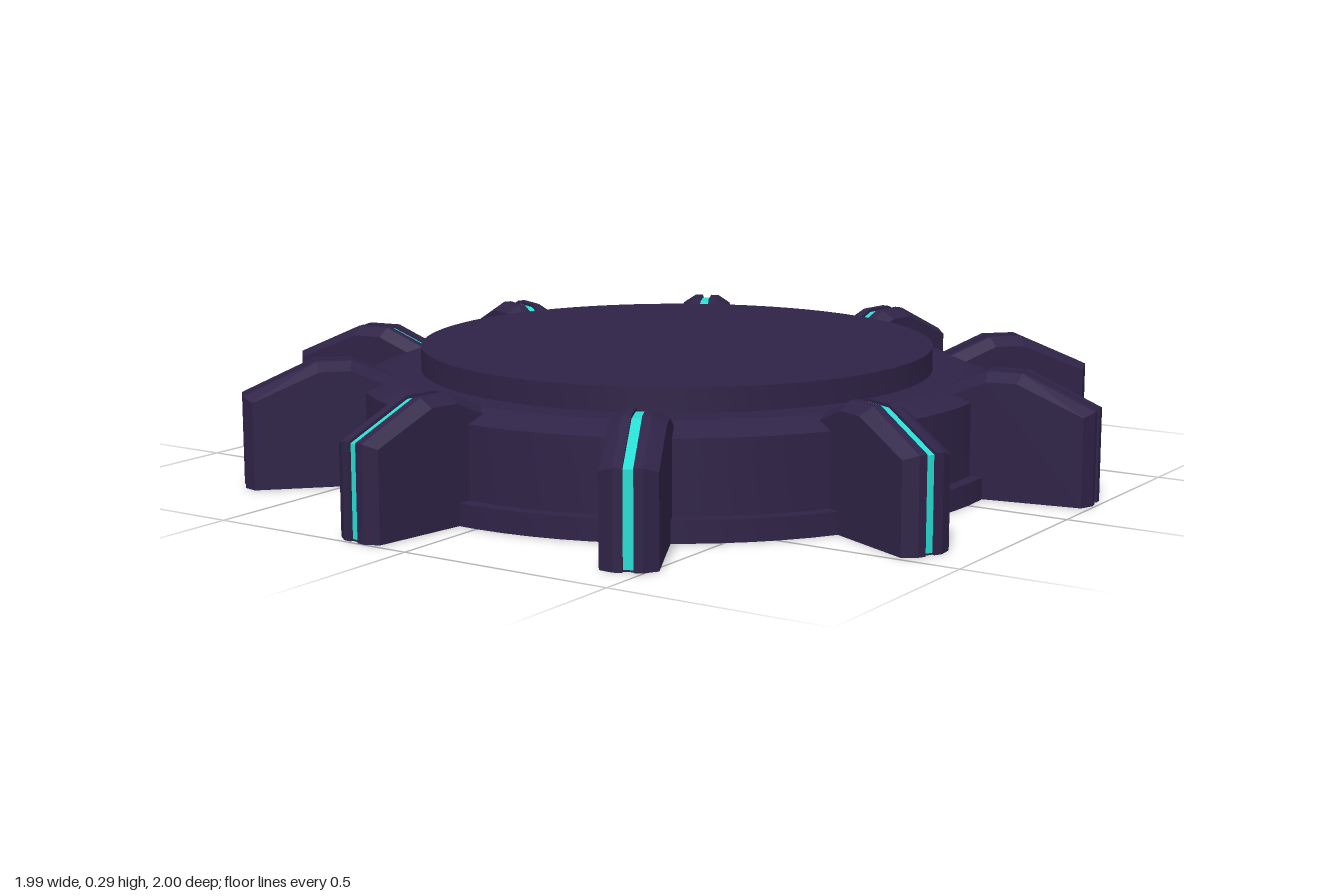
import * as THREE from 'three';
import { toCreasedNormals } from 'three/addons/utils/BufferGeometryUtils.js';
import { ConvexGeometry } from 'three/addons/geometries/ConvexGeometry.js';

const FINS = 10;
const HALF_WIDTH = 0.06;   // fin half thickness
const CHAMFER = 0.03;      // half thickness where the edge chamfer starts
const GROOVE = 0.011;      // half width of the glowing groove

export function createModel() {
  const hull = new THREE.MeshStandardMaterial({ color: 0x2f2347 });
  hull.name = 'dark violet';
  const glow = new THREE.MeshStandardMaterial({ color: 0x27dcd2 });
  glow.name = 'teal glow';

  const model = new THREE.Group();
  model.name = 'finnedPlatform';

  const add = (parent, name, geometry, material) => {
    const mesh = new THREE.Mesh(geometry, material);
    mesh.name = name;
    parent.add(mesh);
    return mesh;
  };

  // Round body: shallow hollow underneath, base lip, wall, chamfer, raised disc
  const profile = [
    [0, 0.04], [0.735, 0.04], [0.738, 0], [0.765, 0], [0.765, 0.05], [0.735, 0.05],
    [0.735, 0.215], [0.67, 0.24], [0.595, 0.24], [0.595, 0.295], [0, 0.295],
  ].map(([r, y]) => new THREE.Vector2(r, y));
  add(model, 'body', toCreasedNormals(new THREE.LatheGeometry(profile, 72), 0.25), hull);

  // Fin side outlines as [radius, height]; the inset one bounds the outer cheek
  const full = [[0.72, 0], [1.004, 0], [1.004, 0.21], [0.84, 0.283], [0.76, 0.283], [0.655, 0.238]];
  const inset = [[0.72, 0], [0.986, 0], [0.986, 0.2], [0.835, 0.264], [0.765, 0.264], [0.675, 0.225]];
  const core = [[0.72, 0.004], [0.997, 0.004], [0.997, 0.206], [0.838, 0.276], [0.762, 0.276], [0.66, 0.233]];

  const layer = (outline, z) => outline.map(([x, y]) => new THREE.Vector3(x, y, z));

  // Half a fin: flat inner face at the groove, chamfered towards the outside
  const halfFin = (side) => new ConvexGeometry([
    ...layer(full, side * GROOVE),
    ...layer(full, side * CHAMFER),
    ...layer(inset, side * HALF_WIDTH),
  ]);
  const leftHalf = halfFin(-1);
  const rightHalf = halfFin(1);

  // Glowing strip sunk between the halves, closed off below by a dark plate
  const strip = new ConvexGeometry([...layer(core, -GROOVE), ...layer(core, GROOVE)]);
  const sole = new THREE.BoxGeometry(0.277, 0.004, GROOVE * 2);
  sole.translate(0.8585, 0.002, 0);

  for (let i = 0; i < FINS; i++) {
    const fin = new THREE.Group();
    fin.name = `fin${i + 1}`;
    fin.rotation.y = THREE.MathUtils.degToRad(10 + (i * 360) / FINS);
    add(fin, 'finLeftHalf', leftHalf, hull);
    add(fin, 'finRightHalf', rightHalf, hull);
    add(fin, 'glowStrip', strip, glow);
    add(fin, 'finSole', sole, hull);
    model.add(fin);
  }

  return model;
}
